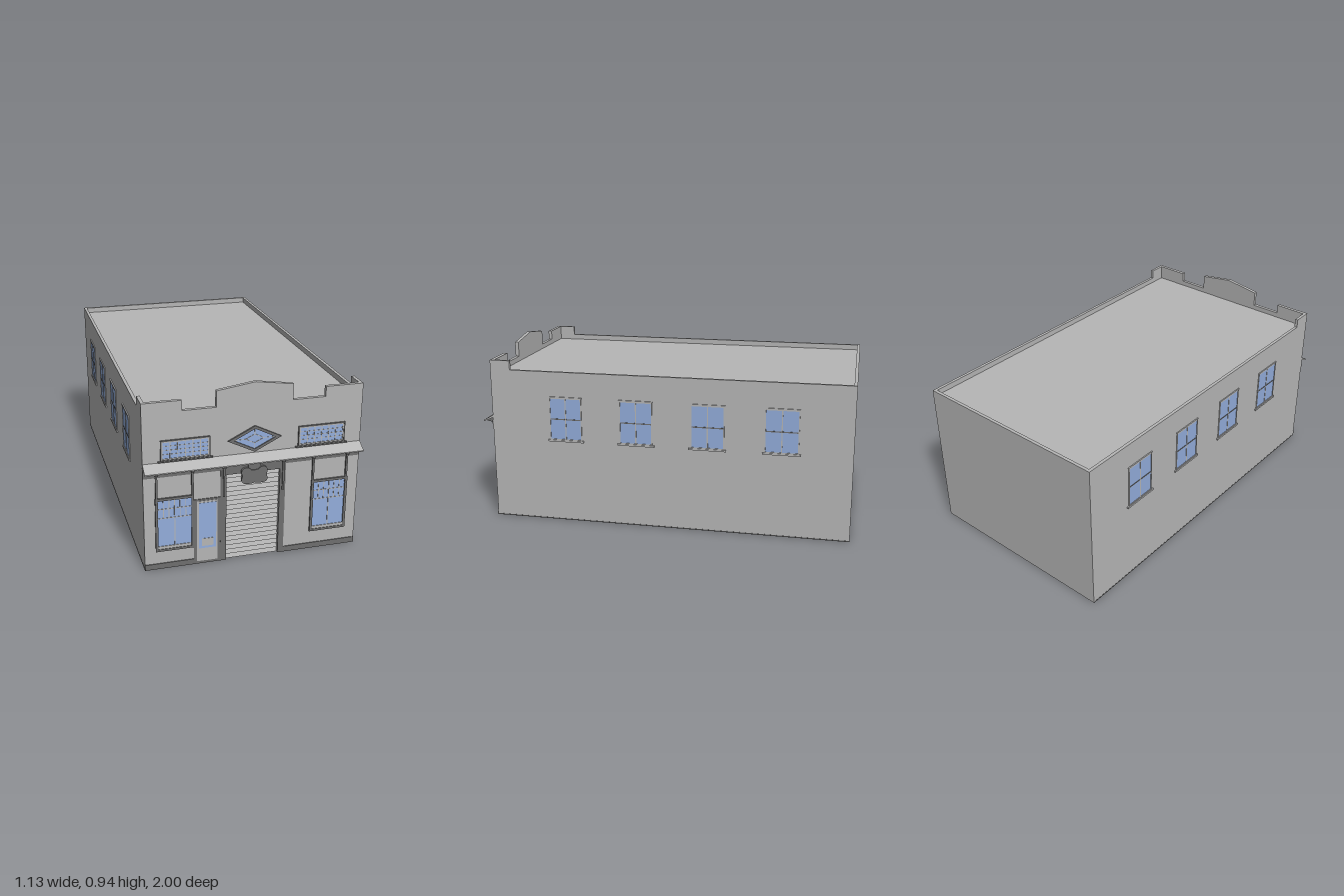
import * as THREE from 'three';

const mat = (name, color) => {
  const m = new THREE.MeshStandardMaterial({ color });
  m.name = name;
  return m;
};

export function createModel() {
  const wall = mat('wall grey', 0xb6b6b6);
  const trim = mat('dark trim', 0x6e6e6e);
  const glass = mat('blue glass', 0x93addb);
  const model = new THREE.Group();
  model.name = 'building';
  const F = 0.945; // front wall plane
  const B = 0.925; // back of the front wall
  const W = 0.555; // half width

  const add = (parent, name, geo, m) => {
    const mesh = new THREE.Mesh(geo, m);
    mesh.name = name;
    parent.add(mesh);
    return mesh;
  };
  const box = (parent, name, m, x0, x1, y0, y1, z0, z1) =>
    add(parent, name, new THREE.BoxGeometry(x1 - x0, y1 - y0, z1 - z0), m)
      .position.set((x0 + x1) / 2, (y0 + y1) / 2, (z0 + z1) / 2);
  const group = (name, parent = model) => {
    const g = new THREE.Group();
    g.name = name;
    parent.add(g);
    return g;
  };
  const outline = (pts) => new THREE.Shape(pts.map(([x, y]) => new THREE.Vector2(x, y)));
  const extrude = (shape, depth) =>
    new THREE.ExtrudeGeometry(shape, { depth, bevelEnabled: false, curveSegments: 8 });
  // Profile given as [z, y], swept along x
  const sweepX = (pts, x0, x1) =>
    extrude(outline(pts), x1 - x0).rotateY(-Math.PI / 2).translate(x1, 0, 0);
  // Rectangular border with a hole
  const border = (parent, name, m, x0, x1, y0, y1, t, z, depth) => {
    const s = outline([[x0, y0], [x1, y0], [x1, y1], [x0, y1]]);
    s.holes.push(outline([[x0 + t, y0 + t], [x0 + t, y1 - t], [x1 - t, y1 - t], [x1 - t, y0 + t]]));
    add(parent, name, extrude(s, depth).translate(0, 0, z), m);
  };

  // Main block and parapets around the sunken roof
  box(model, 'mainBlock', wall, -W, W, 0, 0.805, -1, B);
  box(model, 'backParapet', wall, -W, W, 0.805, 0.835, -1, -0.983);
  for (const s of [-1, 1]) {
    const x0 = s < 0 ? -W : W - 0.017;
    box(model, 'sideParapet', wall, x0, x0 + 0.017, 0.805, 0.835, -0.983, 0.835);
    box(model, 'cornerReturn', wall, x0, x0 + 0.017, 0.805, 0.885, 0.835, B);
    const b = s < 0 ? -W - 0.001 : W;
    box(model, 'sideBaseLine', trim, b, b + 0.001, 0, 0.006, -1, F);
  }

  // Stepped front wall with the garage opening
  add(model, 'frontWall', extrude(outline([
    [-W, 0], [-0.14, 0], [-0.14, 0.475], [0.135, 0.475], [0.135, 0], [W, 0],
    [W, 0.885], [0.36, 0.885], [0.36, 0.833], [0.193, 0.833], [0.193, 0.915], [0, 0.943],
    [-0.193, 0.915], [-0.193, 0.833], [-0.36, 0.833], [-0.36, 0.885], [-W, 0.885],
  ]), F - B).translate(0, 0, B), wall);

  // Garage door of lapped slats
  const slats = [[B, 0]];
  const n = 19, h = 0.475 / n;
  for (let i = 0; i < n; i++) slats.push([B + 0.011, i * h], [B + 0.001, (i + 1) * h]);
  slats.push([B, 0.475]);
  add(model, 'garageDoor', sweepX(slats, -0.14, 0.135), wall);

  // Dark trim on the front
  const trims = group('frontTrim');
  for (const [x0, x1, y0, y1] of [
    [-W, -0.305, 0, 0.03], [0.165, W, 0, 0.03],
    [-W, W, 0.502, 0.55], [-0.14, 0.135, 0.475, 0.502],
    [0.135, 0.165, 0, 0.502], [-0.17, -0.14, 0, 0.502],
  ]) box(trims, 'trimBoard', trim, x0, x1, y0, y1, F, F + 0.004);

  // Entry door
  const door = group('entryDoor');
  box(door, 'doorFrame', trim, -0.305, -0.17, 0, 0.36, F, F + 0.0038);
  box(door, 'doorLeaf', wall, -0.29, -0.185, 0.015, 0.35, F, F + 0.006);
  box(door, 'doorGlass', glass, -0.28, -0.192, 0.087, 0.34, F, F + 0.007);
  box(door, 'doorPlate', wall, -0.265, -0.207, 0.1, 0.142, F, F + 0.009);

  // Shop windows
  for (const c of [-0.402, 0.401]) {
    const g = group('shopWindow');
    box(g, 'windowGlass', glass, c - 0.084, c + 0.084, 0.125, 0.378, F, F + 0.003);
    box(g, 'bottomRail', wall, c - 0.084, c + 0.084, 0.112, 0.127, F, F + 0.006);
    box(g, 'topFrame', trim, c - 0.097, c + 0.097, 0.377, 0.39, F, F + 0.009);
    box(g, 'sill', trim, c - 0.097, c + 0.097, 0.1, 0.112, F, F + 0.009);
    for (const s of [-1, 1])
      box(g, 'sideFrame', trim, c + s * 0.0905 - 0.0065, c + s * 0.0905 + 0.0065, 0.112, 0.377, F, F + 0.009);
    box(g, 'centreBar', wall, c - 0.002, c + 0.002, 0.127, 0.377, F, F + 0.006);
    for (const y of [0.28, 0.33])
      box(g, 'crossBar', wall, c - 0.084, c + 0.084, y - 0.002, y + 0.002, F, F + 0.005);
    for (const i of [-2, -1, 1, 2])
      box(g, 'smallBar', wall, c + i * 0.028 - 0.002, c + i * 0.028 + 0.002, 0.28, 0.377, F, F + 0.0045);
  }

  // Upper grid windows
  for (const c of [-0.346, 0.346]) {
    const g = group('upperWindow');
    box(g, 'windowGlass', glass, c - 0.115, c + 0.115, 0.592, 0.686, F, F + 0.003);
    border(g, 'outerFrame', trim, c - 0.122, c + 0.122, 0.587, 0.692, 0.006, F, 0.008);
    border(g, 'innerFrame', wall, c - 0.116, c + 0.116, 0.593, 0.686, 0.005, F, 0.006);
    for (let i = 1; i < 6; i++) {
      const x = c - 0.111 + i * 0.037;
      box(g, 'uprightBar', wall, x - 0.002, x + 0.002, 0.595, 0.684, F, F + 0.005);
    }
    for (let j = 1; j < 4; j++) {
      const y = 0.598 + j * 0.021;
      box(g, 'crossBar', wall, c - 0.113, c + 0.113, y - 0.0015, y + 0.0015, F, F + 0.0045);
    }
    box(g, 'sill', trim, c - 0.136, c + 0.136, 0.58, 0.586, F, F + 0.009);
  }

  // Diamond window
  const dia = group('diamondWindow');
  const diamond = (a, b) => outline([[a, 0], [0, b], [-a, 0], [0, -b]]);
  const ring = (name, m, a, b, a2, b2, d) => {
    const s = diamond(a, b);
    s.holes.push(diamond(a2, b2));
    add(dia, name, extrude(s, d), m);
  };
  add(dia, 'diamondGlass', extrude(diamond(0.107, 0.054), 0.003), glass);
  ring('outerFrame', trim, 0.136, 0.068, 0.105, 0.053, 0.009);
  ring('innerRing', wall, 0.05, 0.025, 0.043, 0.021, 0.005);
  for (const s of [-1, 1]) {
    const a = Math.min(s * 0.047, s * 0.105), b = Math.min(s * 0.023, s * 0.052);
    box(dia, 'sideBar', wall, a, a + 0.058, -0.0015, 0.0015, 0, 0.0045);
    box(dia, 'uprightBar', wall, -0.0015, 0.0015, b, b + 0.029, 0, 0.0045);
  }
  dia.position.set(0, 0.653, F);

  // Sloping awning with rafters and wall brackets
  const awning = group('awning');
  add(awning, 'awningTop', sweepX([[F, 0.564], [1, 0.541], [1, 0.547], [F, 0.578]], -W, W), wall);
  for (let i = 0; i < 14; i++) {
    const x = -0.52 + i * 0.08;
    add(awning, 'rafter', sweepX([[F, 0.528], [0.992, 0.537], [0.992, 0.5445], [F, 0.564]],
      x - 0.005, x + 0.005), trim);
  }
  for (const x of [-0.491, -0.312, -0.154, 0.152, 0.31, 0.489]) {
    box(awning, 'bracketPost', trim, x - 0.005, x + 0.005, 0.36, 0.53, F, F + 0.01);
    box(awning, 'bracketCap', trim, x - 0.008, x + 0.008, 0.515, 0.54, F, F + 0.018);
  }

  // Scalloped blank sign board
  const sign = new THREE.Shape();
  sign.moveTo(0, 0.424);
  for (const [a, b, x, y] of [
    [0.02, 0.416, 0.04, 0.42], [0.068, 0.42, 0.066, 0.445], [0.06, 0.462, 0.066, 0.48],
    [0.066, 0.506, 0.042, 0.506], [0.025, 0.504, 0.02, 0.494], [0, 0.488, -0.02, 0.494],
    [-0.025, 0.504, -0.042, 0.506], [-0.068, 0.506, -0.068, 0.48], [-0.06, 0.462, -0.068, 0.445],
    [-0.068, 0.42, -0.04, 0.42], [-0.02, 0.416, 0, 0.424],
  ]) sign.quadraticCurveTo(a, b, x, y);
  add(model, 'signBoard', extrude(sign, 0.012).translate(0, 0, F + 0.004), trim);
  box(model, 'signHanger', trim, -0.033, 0.033, 0.49, 0.54, F, F + 0.012);

  // Windows on both sides, built facing +z then turned outwards
  for (const s of [-1, 1]) for (const z of [0.528, 0.14, -0.245, -0.633]) {
    const g = group('sideWindow');
    box(g, 'windowGlass', glass, -0.085, 0.085, 0.465, 0.69, 0, 0.002);
    box(g, 'uprightBar', wall, -0.003, 0.003, 0.465, 0.69, 0, 0.004);
    box(g, 'crossBar', trim, -0.085, 0.085, 0.573, 0.579, 0, 0.004);
    border(g, 'windowFrame', wall, -0.089, 0.089, 0.461, 0.694, 0.005, 0, 0.005);
    box(g, 'sill', wall, -0.1, 0.1, 0.451, 0.461, 0, 0.008);
    box(g, 'lintel', wall, -0.092, 0.092, 0.694, 0.7, 0, 0.006);
    g.position.set(s * W, 0, z);
    g.rotation.y = s * Math.PI / 2;
  }
  return model;
}
